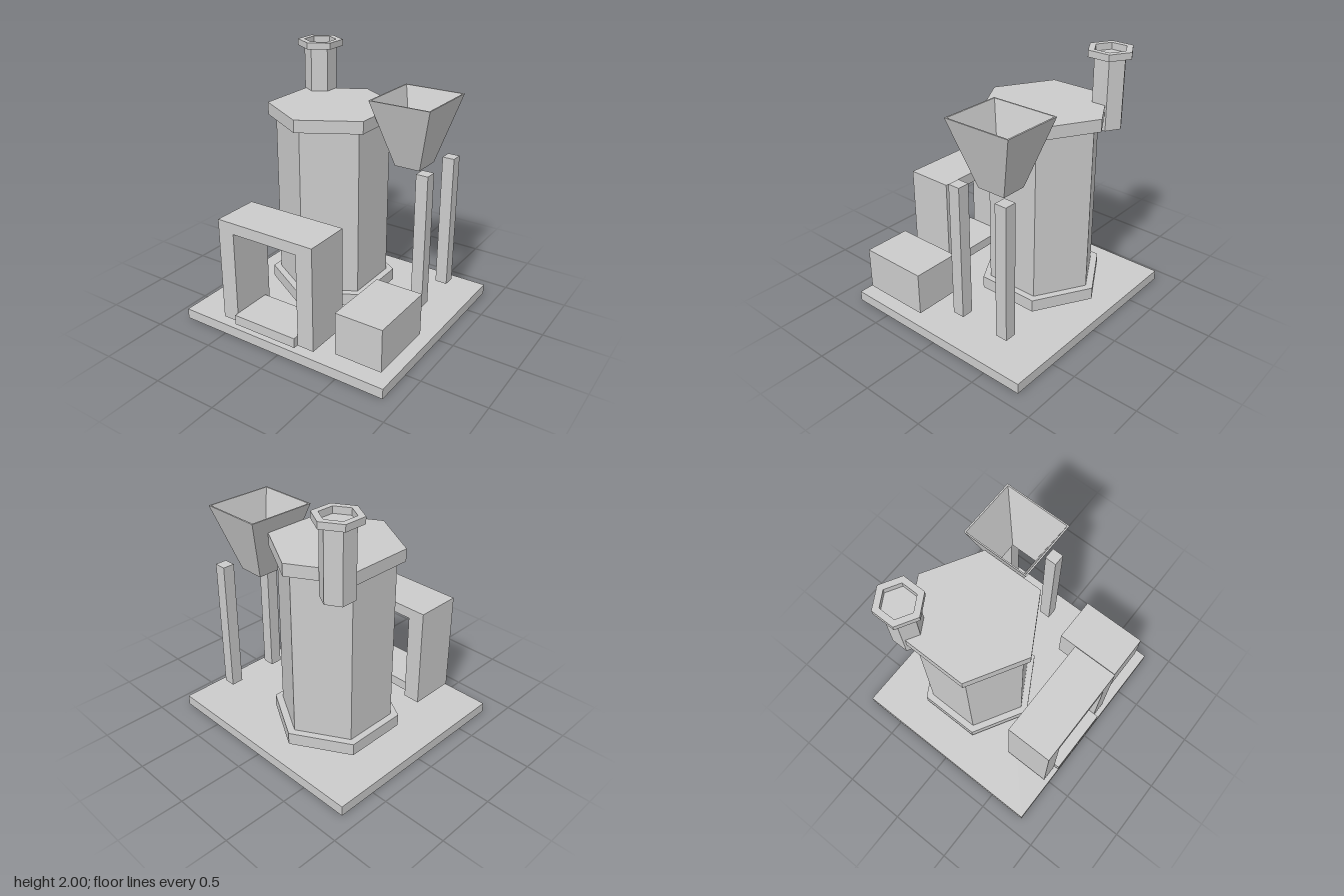
import * as THREE from 'three';

const material = new THREE.MeshStandardMaterial({ color: 0xcccccc, flatShading: true });

export function createModel() {
  const model = new THREE.Group();

  const add = (name, geometry, x = 0, y = 0, z = 0) => {
    const mesh = new THREE.Mesh(geometry, material);
    mesh.name = name;
    mesh.position.set(x, y, z);
    model.add(mesh);
    return mesh;
  };
  // Box given by its limits on each axis
  const box = (name, [x0, x1], [y0, y1], [z0, z1]) =>
    add(name, new THREE.BoxGeometry(x1 - x0, y1 - y0, z1 - z0),
      (x0 + x1) / 2, (y0 + y1) / 2, (z0 + z1) / 2);
  // Upright hexagonal prism with a corner towards the front
  const hexPrism = (name, radius, [y0, y1], x, z) =>
    add(name, new THREE.CylinderGeometry(radius, radius, y1 - y0, 6), x, (y0 + y1) / 2, z);
  // Hollow solid from a closed [radius, y] profile
  const ring = (profile, sides, start = 0) =>
    new THREE.LatheGeometry(profile.map(([r, y]) => new THREE.Vector2(r, y)), sides, start);

  // Ground slab
  box('base', [-0.88, 0.88], [0, 0.08], [-0.81, 0.81]);

  // Hexagonal tower with foot and lid
  const tx = -0.18, tz = -0.17;
  hexPrism('towerFoot', 0.49, [0.12, 0.217], tx, tz);
  hexPrism('towerBody', 0.43, [0.12, 1.515], tx, tz);
  hexPrism('towerLid', 0.49, [1.515, 1.61], tx, tz);

  // Chimney with an open collar
  const cx = -0.51, cz = -0.483;
  hexPrism('chimneyPipe', 0.125, [1.415, 1.95], cx, cz);
  add('chimneyCollar', ring([
    [0.176, 1.95], [0.176, 2], [0.125, 2], [0.125, 1.95], [0.176, 1.95],
  ], 6), cx, 0, cz);

  // Square funnel, open at top and bottom
  const d = Math.SQRT2;
  const hopper = add('hopper', ring([
    [0.102 * d, 1.22], [0.243 * d, 1.73], [0.232 * d, 1.73], [0.095 * d, 1.22], [0.102 * d, 1.22],
  ], 4), 0.459, 0, -0.303);
  hopper.geometry.rotateY(Math.PI / 4);
  hopper.scale.z = 1.115;

  // Two posts beside the hopper
  for (const z of [-0.095, -0.508]) {
    box('post', [0.608, 0.702], [0.2, 1.255], [z - 0.047, z + 0.047]);
  }

  // Furnace mouth: an arch open at front, back and bottom
  const arch = new THREE.Shape([
    [-0.53, 0.12], [-0.395, 0.12], [-0.395, 0.845], [0.155, 0.845],
    [0.155, 0.12], [0.29, 0.12], [0.29, 0.93], [-0.53, 0.93],
  ].map(([x, y]) => new THREE.Vector2(x, y)));
  add('furnaceArch', new THREE.ExtrudeGeometry(arch, { depth: 0.37, bevelEnabled: false }), 0, 0, 0.402);
  box('hearthSlab', [-0.39, 0.152], [0.12, 0.197], [0.46, 0.81]);

  // Storage crate
  box('crate', [0.447, 0.82], [0.14, 0.472], [0.187, 0.732]);

  return model;
}
